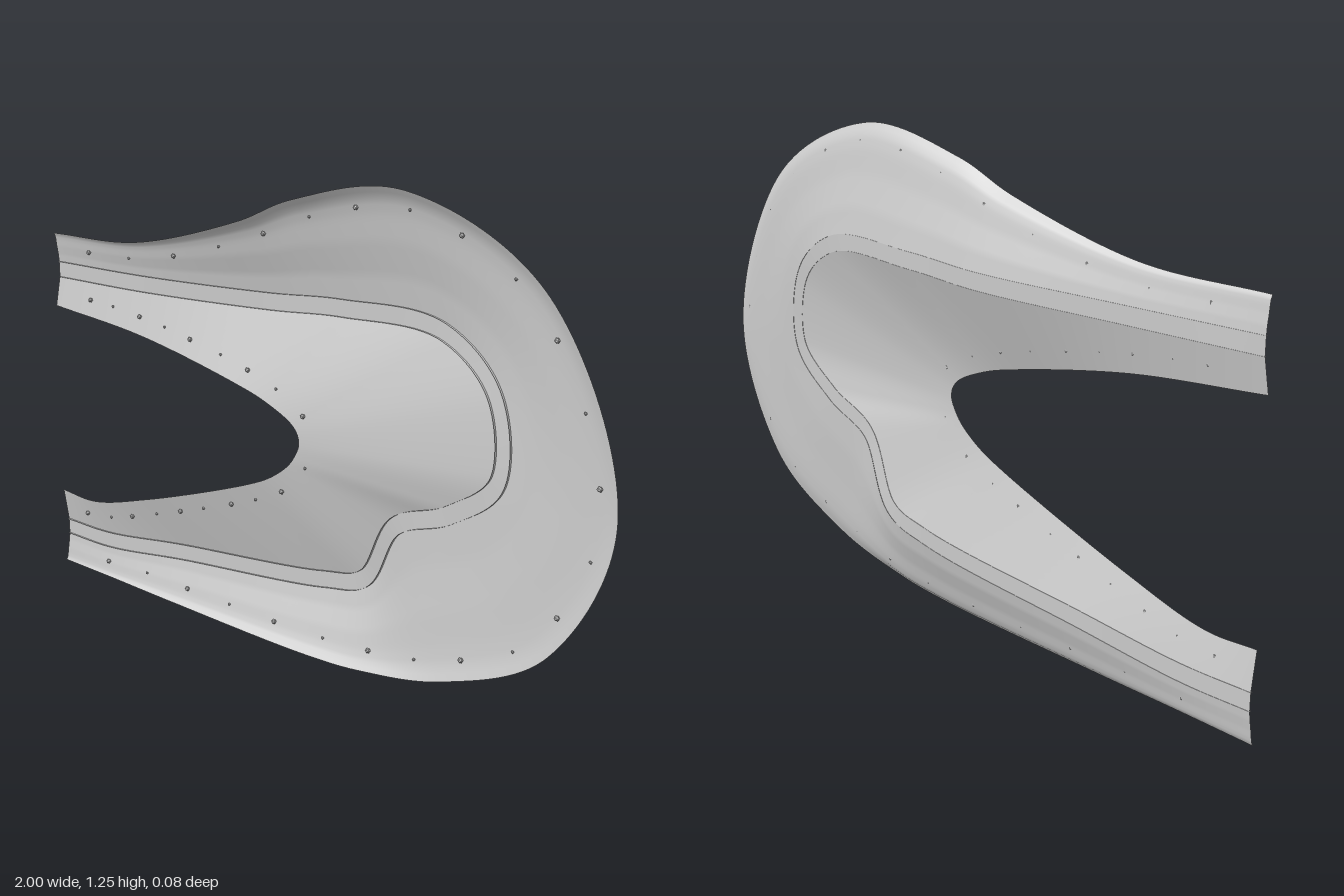
import * as THREE from 'three';
import { mergeGeometries } from 'three/addons/utils/BufferGeometryUtils.js';

// Matching stations along the circuit: inner rim (x, y), road centre (x, y, z), outer rim (x, y)
const STATIONS = [
  [[-1, .775], [-1, .88, .015], [-1, .985]],
  [[-.6, .75], [-.6, .888, 0], [-.62, 1.005]],
  [[-.22, .692], [-.15, .905, -.04], [-.2, 1.11]],
  [[-.1, .665], [.1, .925, -.047], [0, 1.185]],
  [[0, .625], [.45, .925, -.033], [.38, 1.245]],
  [[.022, .6], [.625, .81, -.012], [.8, 1.065]],
  [[.025, .575], [.65, .62, -.001], [1, .62]],
  [[.01, .545], [.5, .505, -.005], [.83, .265]],
  [[-.015, .515], [.32, .43, -.014], [.52, .105]],
  [[-.08, .47], [.2, .26, -.034], [.25, .045]],
  [[-.17, .43], [.05, .215, -.037], [.05, .025]],
  [[-.6, .285], [-.5, .148, -.012], [-.5, .01]],
  [[-.85, .22], [-.8, .11, .008], [-.8, .005]],
  [[-1, .22], [-1, .105, .015], [-1, 0]],
];
const STEPS = 260, HALF_ROAD = .022, RIM_Z = .03;

const curveOf = (k) => new THREE.CatmullRomCurve3(
  STATIONS.map((s) => new THREE.Vector3(s[k][0], s[k][1], s[k][2] ?? RIM_Z)));
const innerRim = curveOf(0), road = curveOf(1), outerRim = curveOf(2);

// Road edge on one side (+1 outer, -1 inner), or in between
function roadEdge(u, side) {
  const p = road.getPoint(u), t = road.getTangent(u);
  const n = new THREE.Vector3(-t.y, t.x, 0).normalize();
  return p.addScaledVector(n, side * HALF_ROAD);
}

// Bank height from road (0) to rim (1): gentle slope, then a turned-up lip
const HEIGHTS = [[0, 0], [.25, .14], [.55, .42], [.78, .58], [.9, .72], [1, 1]];
function lift(s) {
  const i = Math.max(1, HEIGHTS.findIndex((h) => h[0] >= s));
  const [a, b] = [HEIGHTS[i - 1], HEIGHTS[i]];
  return a[1] + (b[1] - a[1]) * (s - a[0]) / (b[0] - a[0]);
}

// Point on a bank, s running from the road edge to the rim
function bank(u, s, side) {
  const a = roadEdge(u, side), b = (side > 0 ? outerRim : innerRim).getPoint(u);
  const k = side > 0 ? lift(s) : s;
  return new THREE.Vector3(a.x + (b.x - a.x) * s, a.y + (b.y - a.y) * s, a.z + (b.z - a.z) * k);
}

// Lofted sheet: f(u, v) sampled on a grid
function loft(f, cols) {
  const pos = [], index = [], w = cols + 1;
  for (let i = 0; i <= STEPS; i++) {
    for (let j = 0; j <= cols; j++) pos.push(...f(i / STEPS, j / cols).toArray());
  }
  for (let i = 0; i < STEPS; i++) {
    for (let j = 0; j < cols; j++) {
      const a = i * w + j, b = a + w;
      index.push(a, b, b + 1, a, b + 1, a + 1);
    }
  }
  const g = new THREE.BufferGeometry();
  g.setAttribute('position', new THREE.Float32BufferAttribute(pos, 3));
  g.setIndex(index);
  g.computeVertexNormals();
  return g;
}

// Small bushes set back from one rim at even spacing
function bushes(rim, side, spacing) {
  const parts = [];
  let last = null;
  for (let i = 8; i < STEPS - 8; i++) {
    const u = i / STEPS, edge = rim.getPoint(u);
    if (last && edge.distanceTo(last) < spacing) continue;
    last = edge;
    const width = edge.distanceTo(roadEdge(u, side));
    const p = bank(u, 1 - Math.min(.5, .05 / width), side);
    const r = parts.length % 2 ? .004 : .007;
    const g = new THREE.IcosahedronGeometry(r, 0);
    g.translate(p.x, p.y, p.z + r * .7);
    parts.push(g);
  }
  return mergeGeometries(parts);
}

export function createModel() {
  const group = new THREE.Group();
  const ground = new THREE.MeshStandardMaterial({ color: 0xcccccc, side: THREE.DoubleSide });
  const faceted = new THREE.MeshStandardMaterial({ color: 0xcccccc, flatShading: true });
  const add = (name, geometry, material = ground) => {
    const mesh = new THREE.Mesh(geometry, material);
    mesh.name = name;
    group.add(mesh);
  };

  // Valley floor and the two banks rising from it
  add('innerBank', loft((u, v) => bank(u, 1 - v, -1), 8));
  add('road', loft((u, v) => roadEdge(u, v * 2 - 1), 2));
  add('outerBank', loft((u, v) => bank(u, v, 1), 20));

  // Low barriers along both road edges
  for (const side of [-1, 1]) {
    add(side > 0 ? 'outerBarrier' : 'innerBarrier', loft((u, v) => {
      const p = roadEdge(u, side);
      p.z += -.001 + v * .007;
      return p;
    }, 1));
  }

  // Planting along the rims
  add('outerBushes', bushes(outerRim, 1, .17), faceted);
  add('innerBushes', bushes(innerRim, -1, .1), faceted);
  return group;
}
